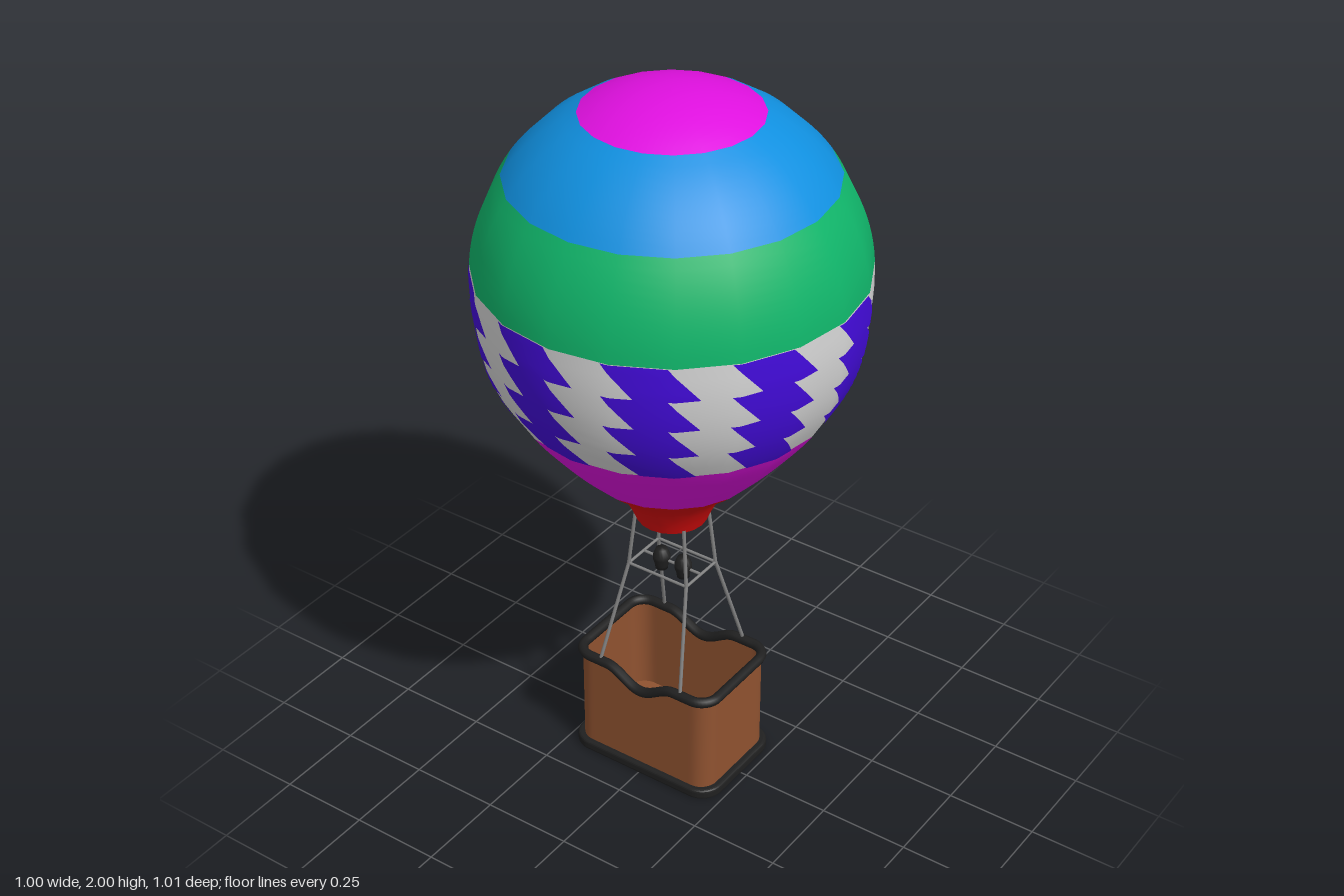
import * as THREE from 'three';

const colour = (name, hex, side = THREE.FrontSide) => {
  const m = new THREE.MeshStandardMaterial({ color: hex, side });
  m.name = name;
  return m;
};

const SIDES = 20;
const BAND_LOW = 1.18, BAND_HIGH = 1.535;

// Envelope profile: a half-round crown above a tapering lower half
function envelopeProfile() {
  const lower = [
    [0.095, 0.78], [0.112, 0.82], [0.15, 0.88], [0.24, 0.96], [0.337, 1.07],
    [0.42, 1.18], [0.465, 1.27], [0.49, 1.36], [0.5, 1.45], [0.5, 1.5],
  ].map(([r, y]) => new THREE.Vector3(r, y, 0));
  const points = new THREE.CatmullRomCurve3(lower).getPoints(120);
  for (let i = 1; i <= 60; i++) {
    const a = (i / 60) * Math.PI / 2;
    points.push(new THREE.Vector3(0.5 * Math.cos(a), 1.5 + 0.5 * Math.sin(a), 0));
  }
  return points;
}
const profile = envelopeProfile();

function radiusAt(y) {
  for (let i = 1; i < profile.length; i++) {
    const a = profile[i - 1], b = profile[i];
    if (y <= b.y) return a.x + (b.x - a.x) * (y - a.y) / (b.y - a.y);
  }
  return 0;
}

// One horizontal colour band of the envelope
function bandGeometry(low, high) {
  const points = [];
  for (let i = 0; i <= 10; i++) {
    const t = 1 - i / 10;
    const y = high - (high - low) * (high === 2 ? t * t : t);
    points.push(new THREE.Vector2(radiusAt(y), y));
  }
  return new THREE.LatheGeometry(points, SIDES);
}

// Leaning patches laid over the pale band, following its flat facets
function patchGeometry() {
  const positions = [], normals = [], index = [];
  const rows = 4, columns = 10, nu = 18, nv = 4;
  const rowHeight = (BAND_HIGH - BAND_LOW) / rows, step = Math.PI * 2 / SIDES;
  for (let row = 0; row < rows; row++) {
    for (let col = 0; col < columns; col++) {
      const start = positions.length / 3;
      for (let v = 0; v <= nv; v++) {
        const y = BAND_LOW + (row + v / nv) * rowHeight;
        const slope = (radiusAt(y + 0.01) - radiusAt(y - 0.01)) / 0.02;
        for (let u = 0; u <= nu; u++) {
          const degrees = col * 36 - 11.5 + (u / nu) * 18.5 - (v / nv) * 9;
          const a = THREE.MathUtils.degToRad(degrees);
          const local = THREE.MathUtils.euclideanModulo(a, step) - step / 2;
          const r = radiusAt(y) * Math.cos(step / 2) / Math.cos(local) + 0.003;
          positions.push(r * Math.sin(a), y, r * Math.cos(a));
          const n = new THREE.Vector3(Math.sin(a), -slope, Math.cos(a)).normalize();
          normals.push(n.x, n.y, n.z);
          if (u < nu && v < nv) {
            const i = start + v * (nu + 1) + u, j = i + nu + 1;
            index.push(i, i + 1, j, i + 1, j + 1, j);
          }
        }
      }
    }
  }
  const g = new THREE.BufferGeometry();
  g.setAttribute('position', new THREE.Float32BufferAttribute(positions, 3));
  g.setAttribute('normal', new THREE.Float32BufferAttribute(normals, 3));
  g.setIndex(index);
  return g;
}

function roundedRect(w, d, r) {
  const s = new THREE.Shape();
  s.moveTo(w - r, -d);
  s.absarc(w - r, -d + r, r, -Math.PI / 2, 0);
  s.absarc(w - r, d - r, r, 0, Math.PI / 2);
  s.absarc(-w + r, d - r, r, Math.PI / 2, Math.PI);
  s.absarc(-w + r, -d + r, r, Math.PI, Math.PI * 1.5);
  s.closePath();
  return s;
}

// Basket rim path, dipping in the middle of the front and back
function rimPoints() {
  return roundedRect(0.216, 0.149, 0.05).getSpacedPoints(140).slice(0, 140).map(({ x, y: z }) => {
    const dips = Math.abs(z) > 0.13 && Math.abs(x) < 0.11;
    const dip = dips ? 0.0225 * (1 + Math.cos(Math.PI * x / 0.11)) : 0;
    return new THREE.Vector3(x, 0.324 - dip, z);
  });
}

function wallGeometry(rim) {
  const positions = [], index = [], n = rim.length;
  rim.forEach((p, i) => {
    positions.push(p.x, 0.02, p.z, p.x, p.y, p.z);
    const a = 2 * i, b = 2 * ((i + 1) % n);
    index.push(a, a + 1, b, b, a + 1, b + 1);
  });
  const g = new THREE.BufferGeometry();
  g.setAttribute('position', new THREE.Float32BufferAttribute(positions, 3));
  g.setIndex(index);
  g.computeVertexNormals();
  return g;
}

function rodGeometry(from, to, radius) {
  const a = new THREE.Vector3(...from), b = new THREE.Vector3(...to);
  return new THREE.TubeGeometry(new THREE.LineCurve3(a, b), 1, radius, 8);
}

export function createModel() {
  const model = new THREE.Group();
  model.name = 'hotAirBalloon';
  const magenta = colour('magenta', 0xe010e0);
  const blue = colour('blue', 0x1090e0);
  const green = colour('green', 0x10b56a);
  const white = colour('white', 0xd6d6d6);
  const indigo = colour('indigo', 0x430bdb);
  const red = colour('red', 0xd80c0c, THREE.DoubleSide);
  const brown = colour('wickerBrown', 0x8f5230, THREE.DoubleSide);
  const black = colour('trimBlack', 0x202020);
  const grey = colour('ropeGrey', 0x828282);

  const add = (name, geometry, material, parent = model) => {
    const mesh = new THREE.Mesh(geometry, material);
    mesh.name = name;
    parent.add(mesh);
    return mesh;
  };

  // Envelope
  const envelope = new THREE.Group();
  envelope.name = 'envelope';
  model.add(envelope);
  add('mouth', bandGeometry(0.78, 0.96), red, envelope);
  add('lowerBand', bandGeometry(0.96, BAND_LOW), magenta, envelope);
  add('patternBand', bandGeometry(BAND_LOW, BAND_HIGH), white, envelope);
  add('patternPatches', patchGeometry(), indigo, envelope);
  add('greenBand', bandGeometry(BAND_HIGH, 1.78), green, envelope);
  add('blueBand', bandGeometry(1.78, 1.945), blue, envelope);
  add('crown', bandGeometry(1.945, 2), magenta, envelope);

  // Basket
  const basket = new THREE.Group();
  basket.name = 'basket';
  model.add(basket);
  const rim = rimPoints();
  add('wall', wallGeometry(rim), brown, basket);
  add('rim', new THREE.TubeGeometry(new THREE.CatmullRomCurve3(rim, true), 180, 0.014, 8, true), black, basket);
  const base = new THREE.ExtrudeGeometry(roundedRect(0.226, 0.157, 0.055), {
    depth: 0.014, bevelThickness: 0.008, bevelSize: 0.008, bevelSegments: 3, curveSegments: 10,
  });
  add('base', base.rotateX(-Math.PI / 2).translate(0, 0.008, 0), black, basket);
  const floor = new THREE.ShapeGeometry(roundedRect(0.214, 0.147, 0.05));
  add('floor', floor.rotateX(-Math.PI / 2).translate(0, 0.034, 0), brown, basket);

  // Ropes, bent outwards at the burner frame
  for (const sx of [-1, 1]) {
    for (const sz of [-1, 1]) {
      const joint = [sx * 0.093, 0.62, sz * 0.068];
      add('upperRope', rodGeometry([sx * 0.077, 0.79, sz * 0.057], joint, 0.005), grey);
      add('lowerRope', rodGeometry(joint, [sx * 0.131, 0.33, sz * 0.15], 0.005), grey);
    }
    // Burner frame
    add('frameSideBar', rodGeometry([sx * 0.093, 0.62, -0.068], [sx * 0.093, 0.62, 0.068], 0.004), grey);
    add('frameLongBar', rodGeometry([-0.093, 0.62, sx * 0.068], [0.093, 0.62, sx * 0.068], 0.004), grey);
  }
  add('frameCentreBar', rodGeometry([-0.093, 0.62, 0], [0.093, 0.62, 0], 0.004), grey);

  // Burners
  const burner = [[0, 0.59], [0.017, 0.59], [0.018, 0.6], [0.024, 0.622], [0.024, 0.63], [0.016, 0.652], [0, 0.654]]
    .map(([r, y]) => new THREE.Vector2(r, y));
  for (const x of [-0.034, 0.036]) {
    add('burner', new THREE.LatheGeometry(burner, 16), black).position.x = x;
  }
  return model;
}
